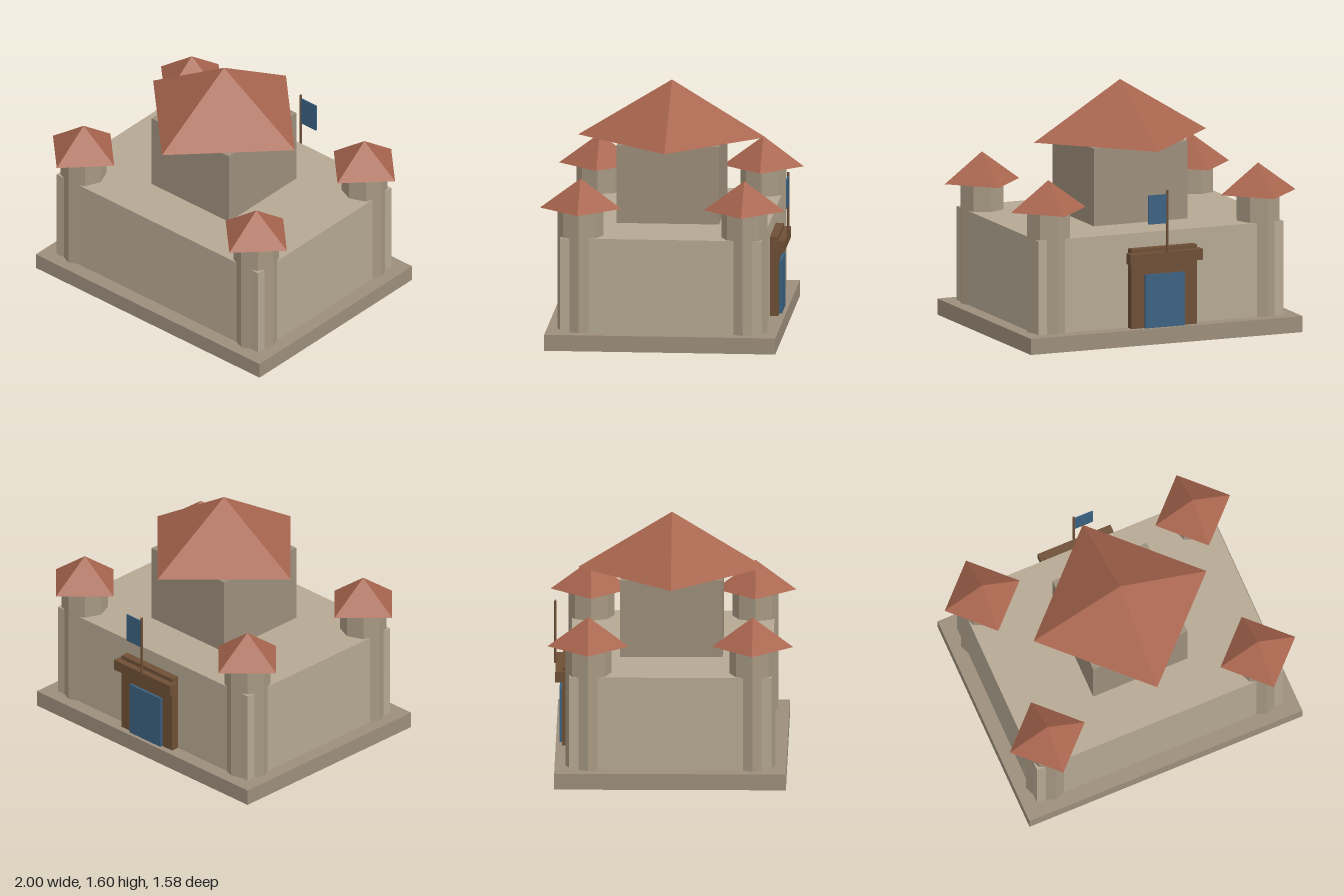
import * as THREE from 'three';

const paint = (color) => new THREE.MeshStandardMaterial({ color, flatShading: true });

export function createModel() {
  const model = new THREE.Group();
  const wallStone = paint(0xb5a892);
  const darkStone = paint(0x9c8e7b);
  const towerStone = paint(0xa69882);
  const tile = paint(0xa8654e);
  const wood = paint(0x6e4f35);
  const blue = paint(0x3a6080);

  const add = (name, geometry, material, parent = model) => {
    const mesh = new THREE.Mesh(geometry, material);
    mesh.name = name;
    parent.add(mesh);
    return mesh;
  };

  // Box given by its minimum and maximum along each axis
  const box = (name, [x0, x1], [y0, y1], [z0, z1], material, parent) =>
    add(name, new THREE.BoxGeometry(x1 - x0, y1 - y0, z1 - z0), material, parent)
      .position.set((x0 + x1) / 2, (y0 + y1) / 2, (z0 + z1) / 2);

  // Upright prism, or pyramid when the top radius is zero
  const prism = (name, top, bottom, y0, y1, sides, material, parent) => {
    const geometry = top === 0
      ? new THREE.ConeGeometry(bottom, y1 - y0, sides)
      : new THREE.CylinderGeometry(top, bottom, y1 - y0, sides);
    const mesh = add(name, geometry, material, parent);
    mesh.position.y = (y0 + y1) / 2;
    return mesh;
  };

  // Plinth, curtain walls and keep
  box('plinth', [-0.955, 0.955], [0, 0.105], [-0.745, 0.745], darkStone);
  box('walls', [-0.86, 0.86], [0.105, 0.72], [-0.65, 0.65], wallStone);
  box('keep', [-0.33, 0.33], [0.72, 1.228], [-0.33, 0.33], darkStone);
  prism('keepRoof', 0, 0.605, 1.23, 1.6, 4, tile);

  // Four octagonal corner towers with pyramid roofs
  for (const sx of [-1, 1]) {
    for (const sz of [-1, 1]) {
      const tower = new THREE.Group();
      tower.name = `${sz > 0 ? 'front' : 'back'}${sx > 0 ? 'Left' : 'Right'}Tower`;
      tower.position.set(sx * 0.737, 0, sz * 0.528);
      prism('towerShaft', 0.148, 0.148, 0.105, 0.895, 8, towerStone, tower);
      prism('towerRoof', 0, 0.262, 0.895, 1.09, 4, tile, tower);
      model.add(tower);
    }
  }

  // Gatehouse on the back wall
  const gate = new THREE.Group();
  gate.name = 'gate';
  model.add(gate);
  box('gateFrame', [-0.23, 0.23], [0.105, 0.625], [-0.703, -0.65], wood, gate);
  box('gateLintel', [-0.255, 0.255], [0.53, 0.6], [-0.747, -0.68], wood, gate);
  box('gateDoor', [-0.14, 0.14], [0.105, 0.455], [-0.721, -0.7], blue, gate);

  // Flag standing over the gate
  const flag = new THREE.Group();
  flag.name = 'flag';
  flag.position.z = -0.75;
  model.add(flag);
  prism('flagPole', 0.008, 0.008, 0.595, 1.005, 6, wood, flag);
  box('flagCloth', [0.005, 0.133], [0.79, 0.98], [-0.004, 0.004], blue, flag);

  return model;
}
